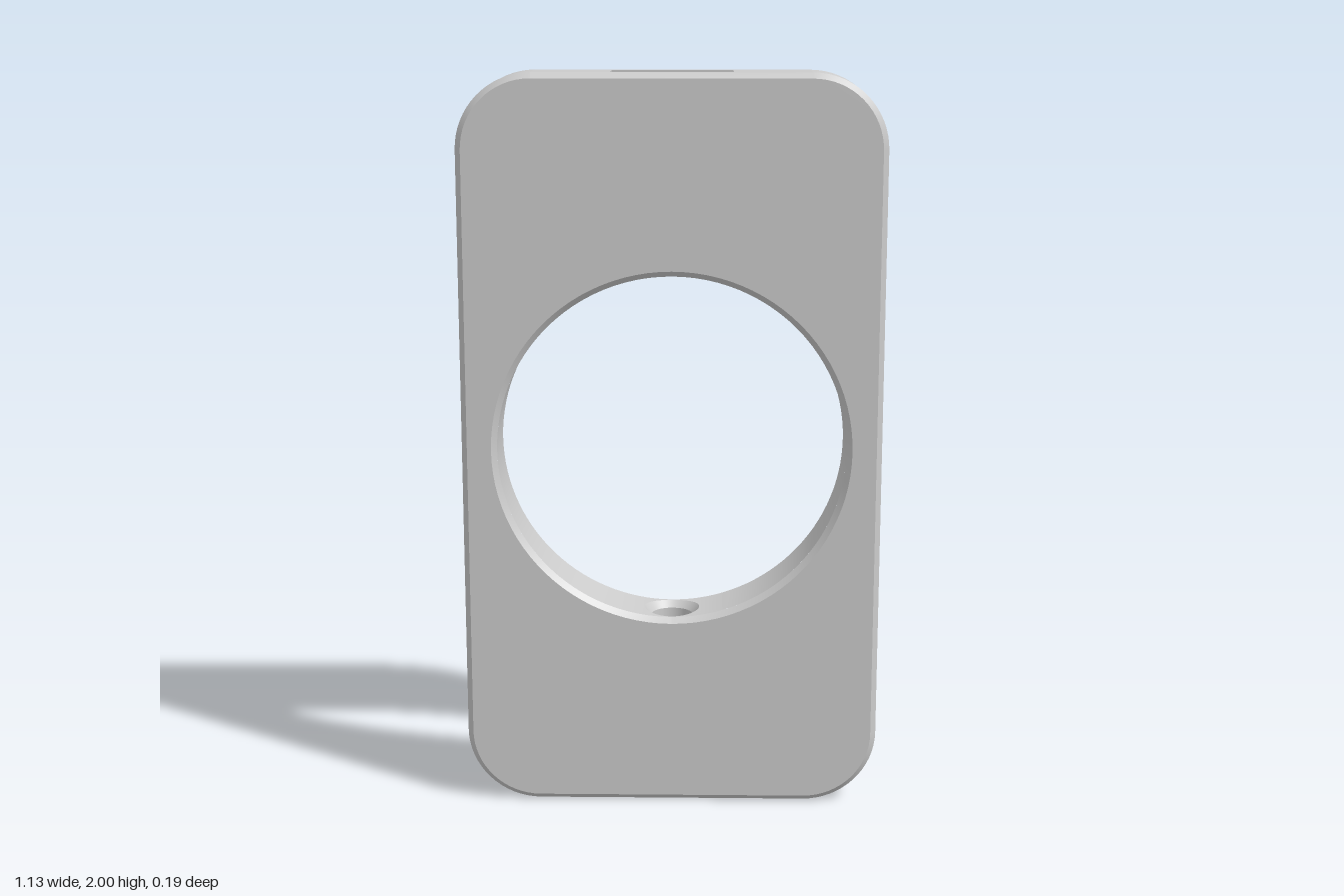
import * as THREE from 'three';

// Overall sizes, measured from the plate centre
const HALF_W = 0.565, HALF_H = 1, HALF_D = 0.095, BEVEL = 0.015, CORNER = 0.2;
const CX = HALF_W - CORNER, CY = HALF_H - CORNER, WALL = HALF_D - BEVEL;
const RING = 0.47;                                  // big opening
const SLOT_R = 0.16, SLOT_Z = 0.065, SLOT_Y = 0.9;  // round-bottomed pocket
const BORE = 0.057, SINK = 0.075, SINK_Y = 0.487;   // cross bore and countersink

const material = new THREE.MeshStandardMaterial({ color: 0xcccccc });

function add(group, name, geometry) {
  const mesh = new THREE.Mesh(geometry, material);
  mesh.name = name;
  group.add(mesh);
  return mesh;
}

// Surface over s, t in 0..1; fn returns [x, y, z], front side is dS x dT
function grid(ns, nt, fn) {
  const pos = [], index = [];
  for (let j = 0; j <= nt; j++)
    for (let i = 0; i <= ns; i++) pos.push(...fn(i / ns, j / nt));
  for (let j = 0; j < nt; j++)
    for (let i = 0; i < ns; i++) {
      const a = j * (ns + 1) + i, b = a + ns + 1;
      index.push(a, a + 1, b + 1, a, b + 1, b);
    }
  const g = new THREE.BufferGeometry();
  g.setAttribute('position', new THREE.Float32BufferAttribute(pos, 3));
  g.setIndex(index);
  g.computeVertexNormals();
  return g;
}

// Cylindrical patch with a round hole: blends from the hole edge to a rectangle
function holedPatch(radius, hole, halfAngle, halfZ, place) {
  return grid(64, 16, (s, t) => {
    const th = s * Math.PI * 2, c = Math.cos(th), n = Math.sin(th);
    const m = Math.max(Math.abs(c), Math.abs(n));
    const a = THREE.MathUtils.lerp(Math.asin(hole * c / radius), halfAngle * c / m, t);
    const v = THREE.MathUtils.lerp(hole * n, halfZ * n / m, t);
    return place(a, v);
  });
}

// Half of the rounded outline: right side, both right corners, top edge
function halfOutline(inset) {
  const pts = [], n = 16, r = CORNER - inset;
  for (const side of [-1, 1])
    for (let i = 0; i <= n; i++) {
      const a = (i / n + (side < 0 ? -1 : 0)) * Math.PI / 2;
      pts.push([CX + r * Math.cos(a), side * CY + r * Math.sin(a)]);
    }
  pts.push([-CX, HALF_H - inset]);
  return pts;
}

// Strip along the outline from one inset and depth to another
function rimStrip(count, inset0, z0, inset1, z1) {
  const rows = [halfOutline(inset0), halfOutline(inset1)];
  return grid(count - 1, 1, (s, t) => [...rows[t][Math.round(s * (count - 1))], t ? z1 : z0]);
}

// Strip around the big opening, angle measured clockwise from the top
function ringStrip(a0, a1, r0, z0, r1, z1) {
  return grid(48, 1, (s, t) => {
    const a = a0 + (a1 - a0) * s, r = t ? r1 : r0;
    return [r * Math.sin(a), r * Math.cos(a), t ? z1 : z0];
  });
}

function buildHalf() {
  const half = new THREE.Group();
  const total = halfOutline(0).length;

  // Outer side wall and its bevels
  add(half, 'sideWall', rimStrip(total - 1, 0, -WALL, 0, WALL));
  add(half, 'frontBevel', rimStrip(total, 0, WALL, BEVEL, HALF_D));
  add(half, 'backBevel', rimStrip(total, BEVEL, -HALF_D, 0, -WALL));

  // End wall with the pocket mouth
  const rect = (x, z) => [[-x, -z], [x, -z], [x, z], [-x, z]].map(p => new THREE.Vector2(...p));
  const end = new THREE.Shape(rect(CX, WALL));
  end.holes.push(new THREE.Path(rect(SLOT_R, SLOT_Z)));
  add(half, 'endWall', new THREE.ShapeGeometry(end).rotateX(-Math.PI / 2).translate(0, HALF_H, 0));

  // Pocket: U-shaped cheeks, straight sides, round floor
  const cheek = new THREE.Shape();
  cheek.moveTo(SLOT_R, HALF_H);
  cheek.lineTo(-SLOT_R, HALF_H);
  cheek.lineTo(-SLOT_R, SLOT_Y);
  cheek.absarc(0, SLOT_Y, SLOT_R, Math.PI, Math.PI * 2, false);
  for (const side of [-1, 1]) {
    const g = new THREE.ShapeGeometry(cheek, 32);
    if (side > 0) g.rotateY(Math.PI);
    add(half, 'pocketCheek', g.translate(0, 0, side * SLOT_Z));
    add(half, 'pocketSide', new THREE.PlaneGeometry(SLOT_Z * 2, HALF_H - SLOT_Y)
      .rotateY(-side * Math.PI / 2)
      .translate(side * SLOT_R, (HALF_H + SLOT_Y) / 2, 0));
  }
  add(half, 'pocketFloor', holedPatch(SLOT_R, BORE, Math.PI / 2, SLOT_Z,
    (a, v) => [SLOT_R * Math.sin(a), SLOT_Y - SLOT_R * Math.cos(a), v]));

  // Bore from the opening to the pocket, with countersink
  const round = (r0, y0, r1, y1) => grid(64, 1, (s, t) => {
    const a = s * Math.PI * 2, r = t ? r1 : r0, x = r * Math.cos(a);
    return [x, t ? y1(x) : y0(x), r * Math.sin(a)];
  });
  add(half, 'countersink', round(SINK, x => Math.sqrt(RING ** 2 - x * x), BORE, () => SINK_Y));
  add(half, 'bore', round(BORE, () => SINK_Y, BORE, x => SLOT_Y - Math.sqrt(SLOT_R ** 2 - x * x)));

  // Wall of the big opening and its bevels
  const win = 0.3;
  add(half, 'openingBorePatch', holedPatch(RING, SINK, win, WALL,
    (a, v) => [RING * Math.sin(a), RING * Math.cos(a), -v]));
  add(half, 'openingWall', ringStrip(win, Math.PI - win, RING, -WALL, RING, WALL));
  add(half, 'openingFrontBevel', ringStrip(0, Math.PI, RING, WALL, RING + BEVEL, HALF_D));
  add(half, 'openingBackBevel', ringStrip(0, Math.PI, RING + BEVEL, -HALF_D, RING, -WALL));
  return half;
}

export function createModel() {
  const model = new THREE.Group();
  model.name = 'plate';
  model.position.y = HALF_H;

  // Flat front and back faces
  const points = halfOutline(BEVEL).slice(0, -1);
  const face = new THREE.Shape([...points, ...points.map(([x, y]) => [-x, -y])]
    .map(p => new THREE.Vector2(...p)));
  const hole = new THREE.Path();
  hole.absarc(0, 0, RING + BEVEL, 0, Math.PI * 2, true);
  face.holes.push(hole);
  for (const [name, turn] of [['frontFace', 0], ['backFace', Math.PI]])
    add(model, name, new THREE.ShapeGeometry(face, 48).translate(0, 0, HALF_D).rotateY(turn));

  // Two identical halves, turned about the centre
  for (const [name, turn] of [['upperHalf', 0], ['lowerHalf', Math.PI]]) {
    const half = buildHalf();
    half.name = name;
    half.rotation.z = turn;
    model.add(half);
  }

  const root = new THREE.Group();
  root.add(model);
  return root;
}
